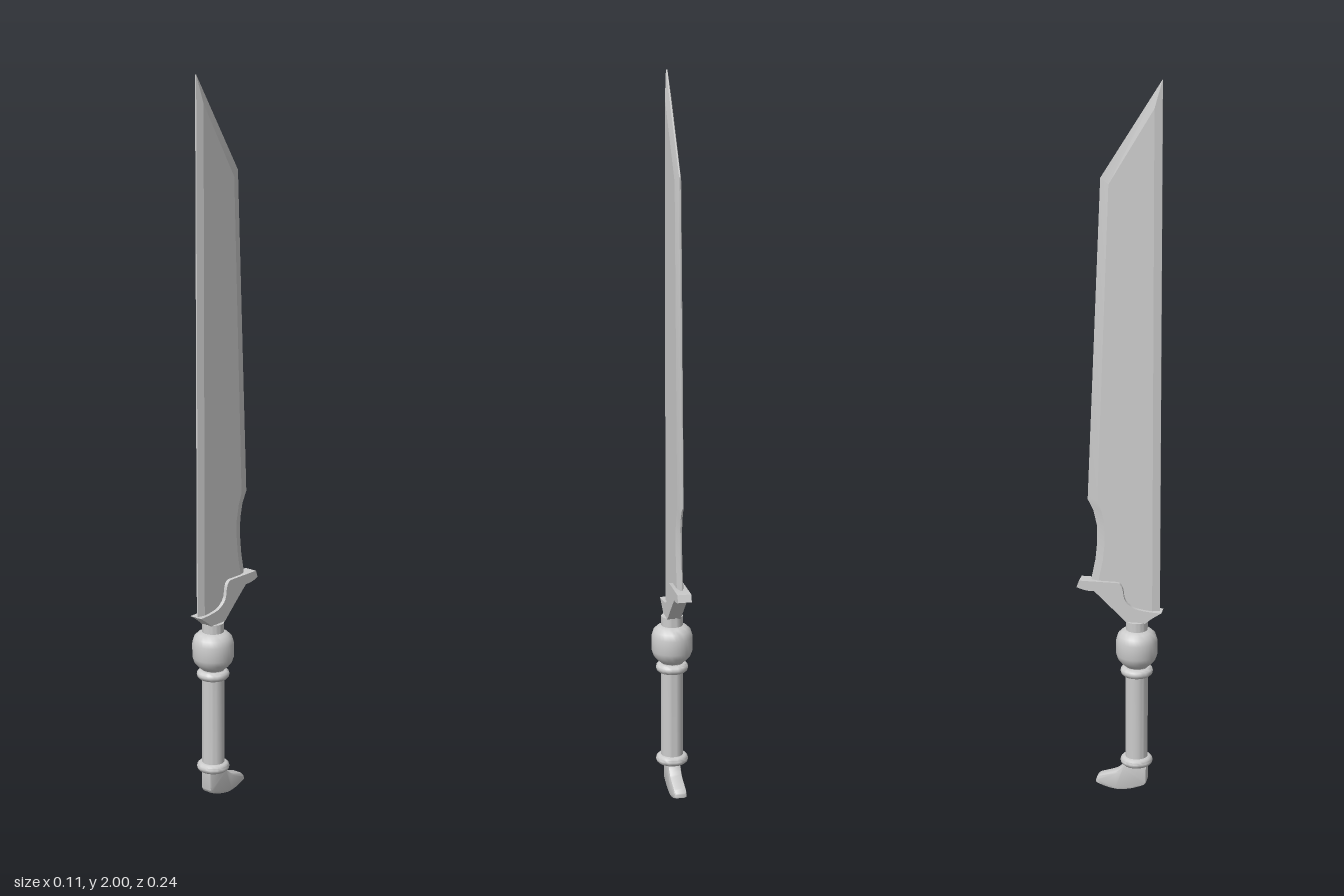
import * as THREE from 'three';
import { toCreasedNormals } from 'three/addons/utils/BufferGeometryUtils.js';

const AXIS_Z = 0.046; // centre line of the grip

const metal = new THREE.MeshStandardMaterial({ color: 0xcccccc });

function addMesh(group, name, geometry, crease = 0.6) {
  const mesh = new THREE.Mesh(toCreasedNormals(geometry, crease), metal);
  mesh.name = name;
  group.add(mesh);
  return mesh;
}

// Side profile given as [z, y], extruded evenly across x
function sidePlate(shape, halfWidth, bevel) {
  const depth = 2 * (halfWidth - bevel);
  const geometry = new THREE.ExtrudeGeometry(shape, {
    depth,
    curveSegments: 6,
    bevelEnabled: bevel > 0,
    bevelThickness: bevel,
    bevelSize: bevel,
    bevelOffset: -bevel,
    bevelSegments: 2,
  });
  return geometry.translate(0, 0, -depth / 2).rotateY(-Math.PI / 2);
}

// Flat blade with ground edges: a thin rim around two inset faces
function bladeGeometry() {
  // rim z, rim y, face z, face y
  const outline = [
    [-0.082, 0.61, -0.062, 0.61],
    [0.0, 0.56, 0.0, 0.56],
    [0.11, 0.54, 0.09, 0.54],
    [0.11, 2.0, 0.09, 1.925],
    [-0.053, 1.74, -0.03, 1.725],
    [-0.09, 0.857, -0.062, 0.857],
    [-0.074, 0.825, -0.05, 0.825],
    [-0.065, 0.785, -0.042, 0.785],
    [-0.064, 0.735, -0.042, 0.735],
    [-0.069, 0.685, -0.047, 0.685],
    [-0.078, 0.64, -0.056, 0.64],
  ];
  const rimHalf = 0.002, faceHalf = 0.009;
  const rings = [
    outline.map(([, , z, y]) => [z, y, faceHalf]),
    outline.map(([z, y]) => [z, y, rimHalf]),
    outline.map(([z, y]) => [z, y, -rimHalf]),
    outline.map(([, , z, y]) => [z, y, -faceHalf]),
  ];
  const n = outline.length;
  const index = [];
  for (let r = 0; r < 3; r++) {
    for (let i = 0; i < n; i++) {
      const j = (i + 1) % n;
      const a = r * n + i, b = r * n + j, c = a + n, d = b + n;
      index.push(a, c, b, b, c, d);
    }
  }
  const face = outline.map(([, , z, y]) => new THREE.Vector2(z, y));
  for (const [a, b, c] of THREE.ShapeUtils.triangulateShape(face, [])) {
    index.push(a, b, c, 3 * n + a, 3 * n + c, 3 * n + b);
  }
  const geometry = new THREE.BufferGeometry();
  geometry.setAttribute('position', new THREE.Float32BufferAttribute(rings.flat(2), 3));
  geometry.setIndex(index);
  return geometry.rotateY(-Math.PI / 2);
}

// Turned part of the hilt, profile given as [radius, y]
function turned(group, name, profile, crease) {
  const points = profile.map(([r, y]) => new THREE.Vector2(r, y));
  const geometry = new THREE.LatheGeometry(points, 32).translate(0, 0, AXIS_Z);
  return addMesh(group, name, geometry, crease);
}

// Rounded collar around the grip
function collar(group, name, y, radius, half) {
  const inner = 0.02;
  const bulge = Array.from({ length: 7 }, (_, i) => {
    const t = -Math.PI / 2 + (i / 6) * Math.PI;
    return [radius - half + half * Math.cos(t), y + half * Math.sin(t)];
  });
  turned(group, name, [[inner, y - half], ...bulge, [inner, y + half]], 0.7);
}

export function createModel() {
  const model = new THREE.Group();
  model.name = 'machete';

  addMesh(model, 'blade', bladeGeometry(), 0.15);

  // Guard sweeping from the spine up to a hooked rear end
  const guard = new THREE.Shape();
  guard.moveTo(0.117, 0.545);
  guard.quadraticCurveTo(0.075, 0.545, 0.045, 0.552);
  guard.quadraticCurveTo(0.014, 0.565, 0.012, 0.59);
  guard.quadraticCurveTo(0.01, 0.622, -0.005, 0.625);
  guard.lineTo(-0.112, 0.625);
  guard.lineTo(-0.119, 0.605);
  guard.quadraticCurveTo(-0.09, 0.594, -0.07, 0.597);
  guard.quadraticCurveTo(-0.03, 0.56, 0.02, 0.511);
  guard.lineTo(0.072, 0.511);
  guard.quadraticCurveTo(0.09, 0.528, 0.117, 0.545);
  addMesh(model, 'guard', sidePlate(guard, 0.019, 0), 0.5);

  // Hilt from top to bottom
  turned(model, 'neck', [[0, 0.47], [0.03, 0.47], [0.03, 0.513], [0, 0.513]]);
  turned(model, 'bulb', [
    [0, 0.376], [0.03, 0.378], [0.042, 0.388], [0.052, 0.4], [0.057, 0.415],
    [0.057, 0.455], [0.052, 0.472], [0.042, 0.482], [0.03, 0.487], [0, 0.487],
  ], 0.6);
  collar(model, 'upperCollar', 0.364, 0.045, 0.013);
  turned(model, 'grip', [[0, 0.08], [0.031, 0.08], [0.031, 0.38], [0, 0.38]]);
  collar(model, 'lowerCollar', 0.093, 0.045, 0.013);

  // Hooked pommel curling towards the rear
  const pommel = new THREE.Shape();
  pommel.moveTo(0.077, 0.09);
  pommel.lineTo(0.016, 0.09);
  pommel.quadraticCurveTo(0.006, 0.062, -0.02, 0.053);
  pommel.lineTo(-0.056, 0.041);
  pommel.quadraticCurveTo(-0.07, 0.032, -0.067, 0.018);
  pommel.quadraticCurveTo(-0.035, 0.002, 0.0, 0.001);
  pommel.quadraticCurveTo(0.035, 0.004, 0.068, 0.02);
  pommel.quadraticCurveTo(0.077, 0.025, 0.077, 0.04);
  pommel.closePath();
  addMesh(model, 'pommel', sidePlate(pommel, 0.018, 0.006), 0.6);

  return model;
}
